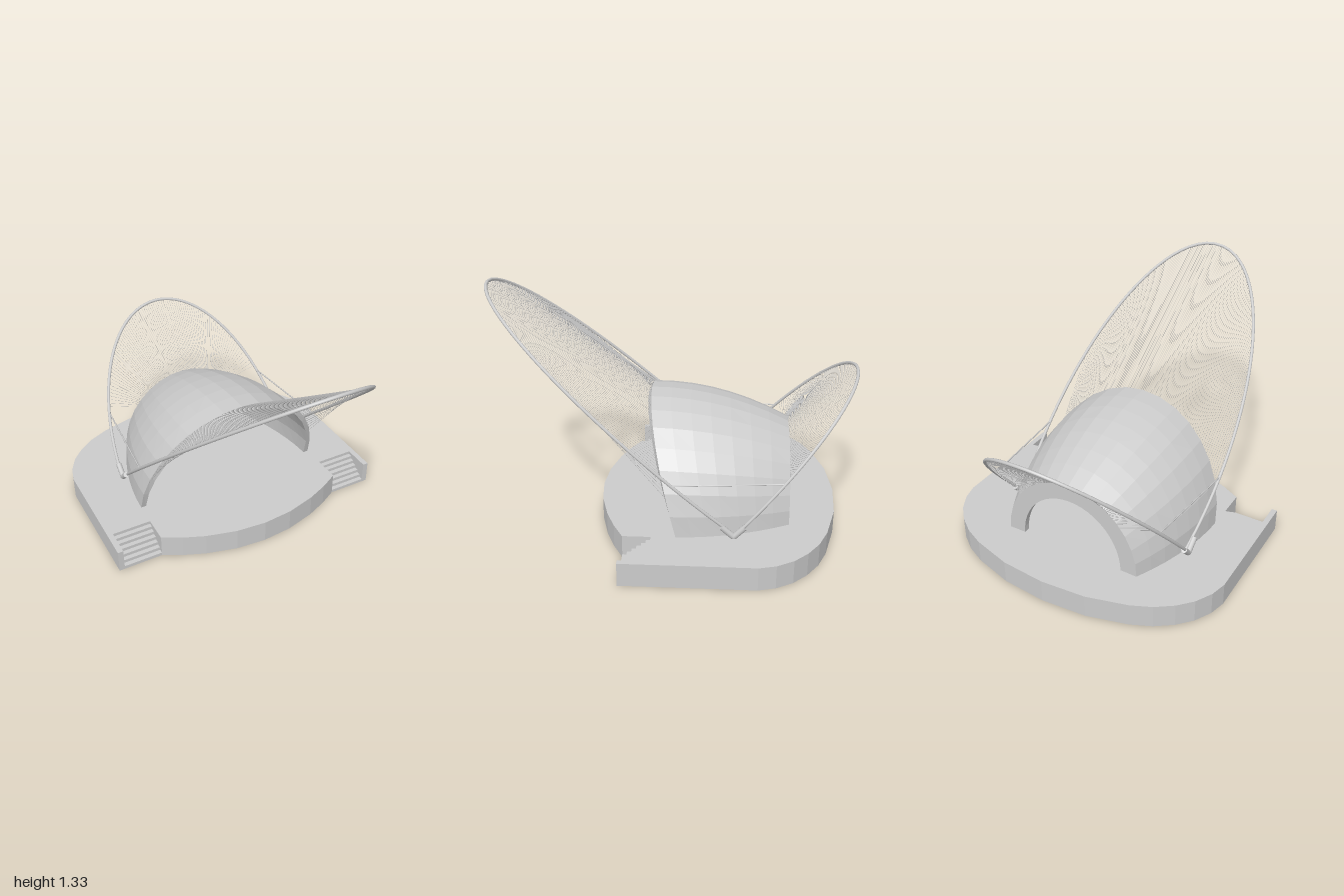
import * as THREE from 'three';

const V = (x, y, z) => new THREE.Vector3(x, y, z);
const DECK = 0.13;
const mat = new THREE.MeshStandardMaterial({ color: 0xcccccc, side: THREE.DoubleSide });
const flat = new THREE.MeshStandardMaterial({ color: 0xcccccc, side: THREE.DoubleSide, flatShading: true });

// Shell section half-width and height at a given depth
const halfWidth = z => 0.56 - 0.395 * z * z;
const height = z => 0.618 - 0.348 * (z - 0.1) ** 2;
const BACK = -0.635;
const frontZ = (a, inset = 0) => -0.04 + (0.16 + inset * 0.6) * Math.sin(a);
const shellPoint = (a, z, inset = 0) =>
  V((halfWidth(z) - inset) * Math.cos(a), DECK - 0.005 + (height(z) - inset) * Math.sin(a), z);

// Leaning arches: half ellipses in tilted planes
const frontArch = a => {
  const y = 0.43 + 0.895 * Math.sin(a);
  return V(0.558 * Math.cos(a), y, -0.34 + (y - 0.14) * 1.123);
};
const rearArch = a => {
  const y = 0.14 + 0.738 * Math.sin(a);
  return V(0.552 * Math.cos(a), y, -0.34 - (y - 0.14) * 0.881);
};

function rod(a, b, r, sides) {
  const g = new THREE.CylinderGeometry(r, r, a.distanceTo(b), sides);
  const d = b.clone().sub(a).normalize();
  g.applyQuaternion(new THREE.Quaternion().setFromUnitVectors(V(0, 1, 0), d));
  const mid = a.clone().add(b).multiplyScalar(0.5);
  return g.translate(mid.x, mid.y, mid.z);
}

function archTube(fn, start) {
  const pts = [];
  for (let i = 0; i <= 36; i++) pts.push(fn(start + (Math.PI - 2 * start) * i / 36));
  return new THREE.TubeGeometry(new THREE.CatmullRomCurve3(pts), 72, 0.009, 8);
}

// Grid surface through rows of points; closed joins the last column to the first
function skin(rows, closed = false) {
  const n = rows[0].length, idx = [];
  for (let i = 0; i < rows.length - 1; i++) {
    for (let j = 0; j < (closed ? n : n - 1); j++) {
      const k = (j + 1) % n, a = i * n + j, b = a + n, c = (i + 1) * n + k, d = i * n + k;
      idx.push(a, b, c, a, c, d);
    }
  }
  const g = new THREE.BufferGeometry().setFromPoints(rows.flat());
  g.setIndex(idx);
  const out = g.toNonIndexed();
  out.computeVertexNormals();
  return out;
}

// Right half of the platform outline as (x, z): front arc, notch walls, then side and back
const frontEdge = [[0, 0.405], [0.17, 0.39], [0.34, 0.345], [0.46, 0.295], [0.562, 0.24], [0.562, 0.09]];
const sideEdge = [[0.782, 0.09], [0.782, 0.24], [0.813, 0.24], [0.813, -0.46], [0.79, -0.55], [0.74, -0.64],
  [0.67, -0.715], [0.58, -0.78], [0.47, -0.83], [0.25, -0.89], [0, -0.91]];

function deckGeometry() {
  const half = frontEdge.concat(sideEdge);
  const mirror = half.slice(1, -1).reverse().map(([x, z]) => [-x, z]);
  const shape = new THREE.Shape(half.concat(mirror).map(([x, z]) => new THREE.Vector2(x, -z)));
  return new THREE.ShapeGeometry(shape).rotateX(-Math.PI / 2).translate(0, DECK, 0);
}

const wallGeometry = (edge, s) => skin([DECK, 0].map(y => edge.map(([x, z]) => V(x * s, y, z))));

function stairGeometry(s) {
  // Stepped sheet descending towards the front
  const steps = 6, rise = DECK / (steps + 1), run = 0.15 / steps;
  const profile = [[DECK, 0.09]];
  for (let i = 0; i < steps; i++) {
    const y = DECK - (i + 1) * rise;
    profile.push([y, 0.09 + i * run], [y, 0.09 + (i + 1) * run]);
  }
  profile.push([0, 0.24]);
  return skin([0.562, 0.782].map(x => profile.map(([y, z]) => V(x * s, y, z))));
}

function shellGeometry() {
  const around = 16, along = 7, rows = [];
  for (let i = 0; i <= around; i++) {
    const a = Math.PI * i / around, row = [];
    for (const inset of [0, 0.03]) {
      for (let j = 0; j <= along; j++) {
        const t = (inset ? along - j : j) / along;
        row.push(shellPoint(a, THREE.MathUtils.lerp(BACK, frontZ(a, inset), t), inset));
      }
    }
    rows.push(row);
  }
  return skin(rows, true);
}

function rearRimGeometry() {
  // Half-ring plate narrowing the rear opening
  const pts = [], steps = 24;
  const arc = (i, w, h) => {
    const a = Math.PI * i / steps;
    pts.push(new THREE.Vector2(w * Math.cos(a), h * Math.sin(a)));
  };
  for (let i = 0; i <= steps; i++) arc(i, 0.382, 0.404);
  for (let i = steps; i >= 0; i--) arc(i, 0.305, 0.33);
  return new THREE.ExtrudeGeometry(new THREE.Shape(pts), { depth: 0.035, bevelEnabled: false })
    .translate(0, DECK - 0.005, BACK + 0.001);
}

export function createModel() {
  const model = new THREE.Group();
  const add = (name, geo, material = mat, parent = model) => {
    const m = new THREE.Mesh(geo, material);
    m.name = name;
    parent.add(m);
  };
  const addGroup = name => {
    const g = new THREE.Group();
    g.name = name;
    model.add(g);
    return g;
  };

  // Hollow platform, open underneath
  add('deck', deckGeometry(), flat);
  add('shell', shellGeometry(), flat);
  add('rearRim', rearRimGeometry(), flat);
  add('frontArch', archTube(frontArch, -0.325));
  add('rearArch', archTube(rearArch, 0));

  for (const [side, s] of [['left', 1], ['right', -1]]) {
    add(side + 'FrontWall', wallGeometry(frontEdge, s), flat);
    add(side + 'SideWall', wallGeometry(sideEdge, s), flat);
    add(side + 'Stairs', stairGeometry(s), flat);
    // Sleeves where the arches meet the deck
    const foot = V(0.545 * s, 0.135, -0.34);
    add(side + 'FrontFoot', rod(foot, V(0.548 * s, 0.195, -0.275), 0.016, 10));
    add(side + 'RearFoot', rod(foot, V(0.548 * s, 0.195, -0.395), 0.016, 10));
    // Horizontal strut between the two arches
    const end = rearArch(Math.asin(0.29 / 0.738));
    add(side + 'Strut', rod(V(0.558 * s, 0.43, frontArch(0).z), V(end.x * s, 0.43, end.z), 0.004, 6));
  }

  // Front cables, each in its own upright plane from shell edge to arch
  const frontCables = addGroup('frontCables');
  for (let i = -52; i <= 52; i++) {
    const x = i * 0.01;
    const rim = Math.acos(x / 0.555);
    const start = shellPoint(rim, frontZ(rim), 0.005);
    add('cable', rod(start, frontArch(Math.acos(x / 0.558)), 0.0009, 4), mat, frontCables);
  }

  // Rear cables fanning from the rear edge to the rear arch
  const rearCables = addGroup('rearCables');
  for (let i = 0; i <= 90; i++) {
    const t = i / 90 * 2 - 1;
    const start = shellPoint(Math.PI / 2 + t * 0.9, BACK, 0.005);
    add('cable', rod(start, rearArch(Math.PI / 2 + t * 1.13), 0.0009, 4), mat, rearCables);
  }
  return model;
}
